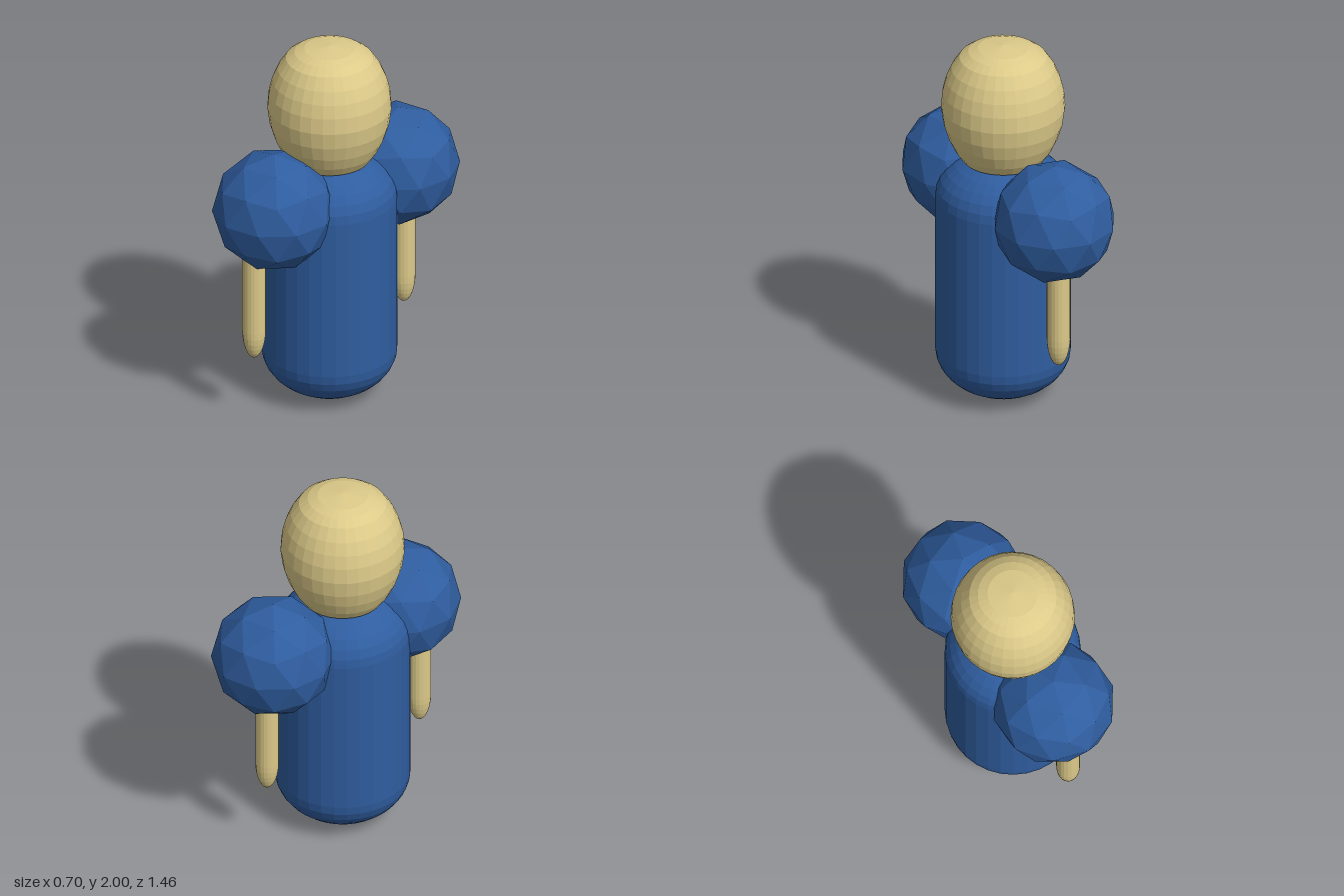
import * as THREE from 'three';

const AXIS_Z = 0.043; // the body and head sit slightly forward of the centre

export function createModel() {
  const blue = new THREE.MeshStandardMaterial({ color: 0x2f5d9f });
  blue.name = 'blue';
  blue.flatShading = true;
  const tan = new THREE.MeshStandardMaterial({ color: 0xdcca89 });
  tan.name = 'tan';
  tan.flatShading = true;

  const model = new THREE.Group();
  model.name = 'figure';

  function add(name, geometry, material, x, y, z) {
    const mesh = new THREE.Mesh(geometry, material);
    mesh.name = name;
    mesh.position.set(x, y, z);
    model.add(mesh);
    return mesh;
  }

  // Upright capsule with elliptical domes, listed from bottom to top
  function capsule(radius, bottom, top, dome, steps, segments) {
    const points = [];
    for (let i = 0; i <= steps; i++) {
      const a = (i / steps) * Math.PI / 2;
      points.push(new THREE.Vector2(radius * Math.sin(a), bottom + dome * (1 - Math.cos(a))));
    }
    for (let i = steps; i >= 0; i--) {
      const a = (i / steps) * Math.PI / 2;
      points.push(new THREE.Vector2(radius * Math.sin(a), top - dome * (1 - Math.cos(a))));
    }
    return new THREE.LatheGeometry(points, segments);
  }

  // Body
  add('body', capsule(0.35, 0.005, 1.385, 0.25, 8, 32), blue, 0, 0, AXIS_Z);

  // Egg-shaped head with a flat underside and a flattened crown
  const headProfile = [
    [0, 1.355], [0.212, 1.355], [0.25, 1.41], [0.283, 1.48], [0.308, 1.56],
    [0.32, 1.65], [0.313, 1.735], [0.295, 1.805], [0.267, 1.87],
    [0.225, 1.933], [0.18, 1.966], [0.13, 1.985], [0, 2.0],
  ].map(([r, y]) => new THREE.Vector2(r, y));
  add('head', new THREE.LatheGeometry(headProfile, 32), tan, 0, 0, AXIS_Z);

  // Faceted ball turned so that one corner points straight up
  const ball = new THREE.IcosahedronGeometry(0.32, 1);
  ball.rotateZ(Math.atan2(2, 1 + Math.sqrt(5)));
  const arm = capsule(0.061, 0.355, 1.15, 0.16, 7, 20);

  // Shoulders and arms, front and back
  add('frontShoulder', ball, blue, 0, 1.17, 0.408);
  add('backShoulder', ball, blue, 0, 1.17, -0.408).rotation.y = Math.PI;
  add('frontArm', arm, tan, 0, 0, 0.541);
  add('backArm', arm, tan, 0, 0, -0.447);

  return model;
}
